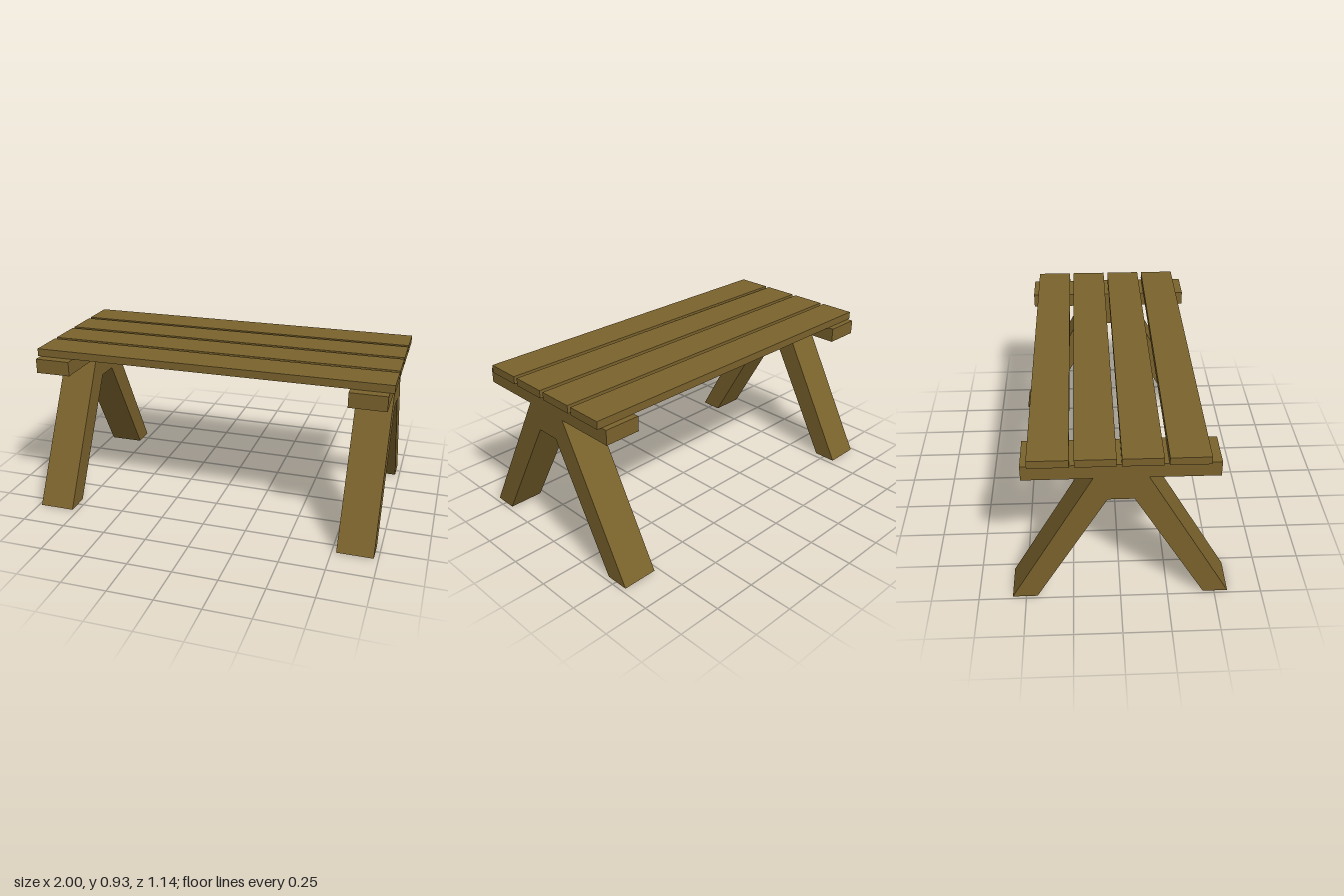
import * as THREE from 'three';

export function createModel() {
  const group = new THREE.Group();
  const wood = new THREE.MeshStandardMaterial({ color: 0x7a622c, flatShading: true });

  function addBox(name, [w, h, d], [x, y, z]) {
    const mesh = new THREE.Mesh(new THREE.BoxGeometry(w, h, d), wood);
    mesh.name = name;
    mesh.position.set(x, y, z);
    group.add(mesh);
  }

  // Four table-top planks running lengthwise
  [-0.347, -0.123, 0.102, 0.327].forEach((z, i) =>
    addBox(`topPlank${i + 1}`, [2, 0.043, 0.2], [0, 0.9035, z]));

  // Splayed leg pair, drawn as an end profile (z, y) and extruded along x
  const profile = new THREE.Shape([
    [0.572, 0], [0.135, 0.8], [-0.135, 0.8], [-0.572, 0],
    [-0.441, 0], [-0.066, 0.667], [0.066, 0.667], [0.441, 0],
  ].map(([z, y]) => new THREE.Vector2(z, y)));
  const legWidth = 0.2;
  const legGeometry = new THREE.ExtrudeGeometry(profile, { depth: legWidth, bevelEnabled: false });
  legGeometry.translate(0, 0, -legWidth / 2);
  legGeometry.rotateY(-Math.PI / 2);

  // A leg pair with its crossbar at each end
  for (const [side, x] of [['right', -0.885], ['left', 0.875]]) {
    const legs = new THREE.Mesh(legGeometry, wood);
    legs.name = `${side}LegPair`;
    legs.position.x = x;
    group.add(legs);
    addBox(`${side}Crossbar`, [legWidth, 0.082, 0.96], [x, 0.841, 0]);
  }

  return group;
}
